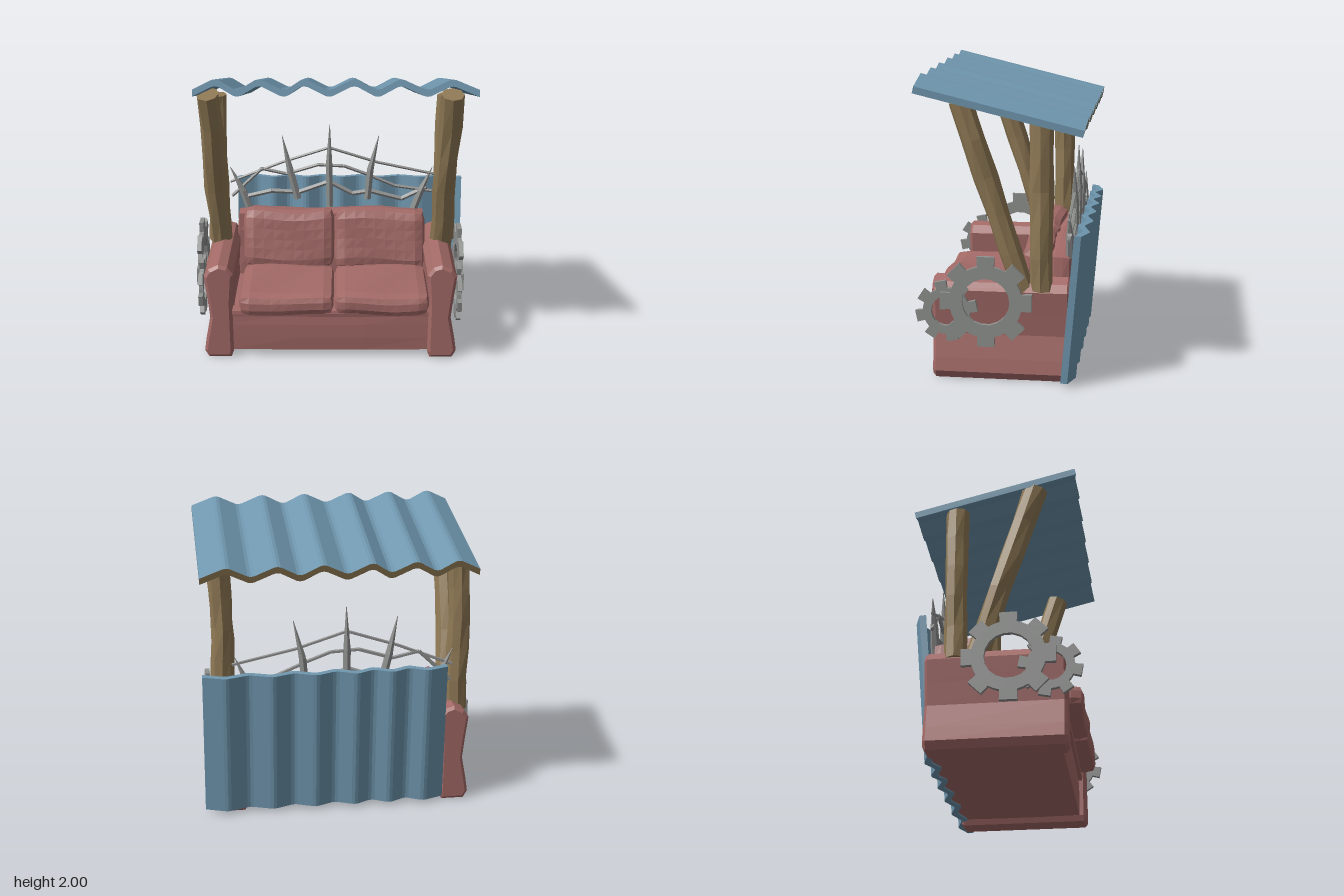
import * as THREE from 'three';

const mat = (name, color) => {
  const m = new THREE.MeshStandardMaterial({ color });
  m.name = name;
  return m;
};
const MID = -0.035; // the sofa sits slightly off the roof's centre line

export function createModel() {
  const model = new THREE.Group();
  model.name = 'shelteredSofa';
  const blue = mat('corrugated blue', 0x6f96ae);
  const red = mat('faded red fabric', 0xa36a67);
  const wood = mat('weathered wood', 0x8f7955);
  const metal = mat('grey metal', 0x8f918f);

  // Faceted mesh: every face gets its own normal
  const add = (name, geo, material, parent = model) => {
    const g = geo.index ? geo.toNonIndexed() : geo;
    g.computeVertexNormals();
    const mesh = new THREE.Mesh(g, material);
    mesh.name = name;
    parent.add(mesh);
    return mesh;
  };
  const warp = (geo, rule) => {
    const p = geo.attributes.position;
    const v = new THREE.Vector3();
    for (let i = 0; i < p.count; i++) {
      v.fromBufferAttribute(p, i);
      rule(v);
      p.setXYZ(i, v.x, v.y, v.z);
    }
    return geo;
  };

  // Corrugated sheet: zigzag profile extruded along its length
  const sheet = (name, knots, amp, thick, length, endMaterial) => {
    const line = [];
    knots.forEach((x, i) => {
      const h = i % 2 ? amp : 0;
      if (i === 0 || i === knots.length - 1) line.push([x, h]);
      else {
        const soft = h + (i % 2 ? -0.004 : 0.004);
        line.push([x - 0.022, soft], [x, h], [x + 0.022, soft]);
      }
    });
    const pts = [...line, ...line.map(([x, h]) => [x, h + thick]).reverse()];
    const geo = new THREE.ExtrudeGeometry(
      new THREE.Shape(pts.map(([x, y]) => new THREE.Vector2(x, y))),
      { depth: length, bevelEnabled: false });
    const caps = geo.groups[0].count;
    const total = geo.attributes.position.count;
    geo.clearGroups();
    geo.addGroup(0, caps / 2, 1);
    geo.addGroup(caps / 2, total - caps / 2, 0);
    return add(name, geo, [blue, endMaterial]);
  };
  const roof = sheet('roof',
    [-0.915, -0.77, -0.63, -0.49, -0.33, -0.2, -0.04, 0.12, 0.27, 0.42, 0.59, 0.75, 0.92],
    0.065, 0.045, 1.1, wood);
  roof.position.set(0, 1.63, -0.52);
  roof.rotation.x = -0.237;
  const backSheet = sheet('backPanel',
    [-0.72, -0.58, -0.46, -0.34, -0.22, -0.1, 0.035, 0.17, 0.315, 0.46, 0.615, 0.77, 0.92],
    0.045, 0.045, 0.98, blue);
  backSheet.position.set(0, 0.03, -0.39);
  backSheet.rotation.x = -(Math.PI / 2 + 0.082);

  // Tapered strut between two points, optionally gnarled
  const strut = (name, a, b, r0, r1, sides, material, gnarl = 0, rows = 1) => {
    const from = new THREE.Vector3(...a), to = new THREE.Vector3(...b);
    const dir = to.clone().sub(from);
    const geo = new THREE.CylinderGeometry(r1, r0, dir.length(), sides, rows);
    if (gnarl) {
      warp(geo, (v) => {
        const turn = Math.atan2(v.z, v.x);
        const k = 1 + gnarl * Math.sin(v.y * 9 + a[0] * 5) * Math.cos(2 * turn + v.y * 4);
        v.x = v.x * k + gnarl * 0.07 * Math.sin(v.y * 7 + a[2] * 9);
        v.z *= k;
      });
    }
    const mesh = add(name, geo, material);
    mesh.position.copy(from).add(to).multiplyScalar(0.5);
    mesh.quaternion.setFromUnitVectors(new THREE.Vector3(0, 1, 0), dir.normalize());
    return mesh;
  };

  // Soft box: rounded at the rim, then gently rumpled
  const softBox = (name, [w, h, d], [x, y, z], r, lumps, segs) => {
    const half = new THREE.Vector3(w / 2 - r, h / 2 - r, d / 2 - r);
    const low = half.clone().negate();
    const geo = warp(new THREE.BoxGeometry(w, h, d, ...segs), (v) => {
      const core = v.clone().clamp(low, half);
      v.sub(core).normalize().multiplyScalar(r).add(core);
      const { x: px, y: py, z: pz } = v;
      v.y += lumps * Math.sin(px * 9 + x * 7 + pz * 5);
      v.z += lumps * 0.7 * Math.sin(px * 11 + py * 13 + x * 4);
    });
    const mesh = add(name, geo, red);
    mesh.position.set(x, y, z);
    return mesh;
  };

  // Sofa frame
  softBox('sofaBase', [1.36, 0.3, 0.86], [MID, 0.18, -0.01], 0.025, 0, [3, 3, 3]);
  softBox('frontRail', [1.36, 0.05, 0.1], [MID, 0.32, 0.39], 0.012, 0, [3, 2, 2]);
  softBox('backrest', [1.36, 0.55, 0.17], [MID, 0.53, -0.345], 0.04, 0.006, [8, 4, 3]);

  // Cushions
  for (const s of [-1, 1]) {
    const x = MID + 0.025 + s * 0.325;
    softBox('seatCushion', [0.645, 0.15, 0.64], [x, 0.415, 0.22], 0.05, 0.008, [9, 3, 8]);
    const back = softBox('backCushion', [0.645, 0.43, 0.19], [x, 0.65, -0.17], 0.06, 0.012, [9, 6, 3]);
    back.rotation.x = -0.2;
  }

  const gear = (name, tip, root, hole, turn, parent) => {
    const pts = [];
    for (let i = 0; i < 8; i++) {
      for (const [r, t] of [[root, -0.23], [tip, -0.19], [tip, 0.19], [root, 0.23], [root, 0.39]]) {
        const a = (i * Math.PI) / 4 + turn + t;
        pts.push(new THREE.Vector2(r * Math.cos(a), r * Math.sin(a)));
      }
    }
    const shape = new THREE.Shape(pts);
    shape.holes.push(new THREE.Path().absarc(0, 0, hole, 0, Math.PI * 2, true));
    const geo = new THREE.ExtrudeGeometry(shape, { depth: 0.03, bevelEnabled: false, curveSegments: 9 });
    geo.translate(0, 0, -0.015);
    const mesh = add(name, geo, metal, parent);
    mesh.rotation.y = Math.PI / 2;
    return mesh;
  };

  for (const s of [-1, 1]) {
    // Waisted arm, extruded front to back with a small chamfer
    const profile = [[0.685, 0], [0.84, 0], [0.868, 0.05], [0.855, 0.14], [0.825, 0.3], [0.842, 0.45],
      [0.862, 0.6], [0.83, 0.65], [0.76, 0.685], [0.7, 0.665], [0.66, 0.61], [0.675, 0.4], [0.67, 0.04]];
    const arm = new THREE.ExtrudeGeometry(
      new THREE.Shape(profile.map(([u, y]) => new THREE.Vector2(MID + s * u, y))),
      { depth: 0.86, bevelSize: 0.02, bevelOffset: -0.02, bevelThickness: 0.02, bevelSegments: 1 });
    add('armrest', arm, red).position.z = -0.42;

    // Roof posts: one upright, one leaning forward
    const px = MID + s * 0.79;
    strut('rearPost', [px + s * 0.02, 0.61, -0.25], [px + s * 0.02, 1.69, -0.25], 0.075, 0.075, 8, wood, 0.1, 5);
    strut('frontPost', [px - s * 0.01, 0.6, -0.13], [px + s * 0.02, 1.83, 0.27], 0.075, 0.078, 8, wood, 0.1, 5);

    // Pair of overlapping gears on the arm's outer face
    const gears = new THREE.Group();
    gears.name = 'armGears';
    gears.position.set(MID + s * 0.895, s < 0 ? 0.04 : 0, 0);
    model.add(gears);
    gear('largeGear', 0.305, 0.238, 0.155, 0, gears).position.set(0, 0.54, 0.1);
    gear('smallGear', 0.205, 0.155, 0.1, 0.2, gears).position.set(-s * 0.022, 0.465, 0.36);
  }

  // Spiked fence behind the backrest
  const Z = -0.42;
  const spikes = [
    [[-0.63, 0.76], [-0.68, 0.92], [-0.77, 1.1]],
    [[-0.28, 0.86], [-0.335, 1.08], [-0.39, 1.34]],
    [[-0.045, 0.8], [-0.05, 1.12], [-0.045, 1.42]],
    [[0.23, 0.86], [0.25, 1.08], [0.31, 1.34]],
    [[0.57, 0.78], [0.62, 0.92], [0.7, 1.1]],
  ];
  for (const [base, bend, tip] of spikes) {
    strut('spikeBase', [...base, Z], [...bend, Z], 0.029, 0.027, 6, metal);
    strut('spikeTip', [...bend, Z], [...tip, Z], 0.027, 0.002, 6, metal);
  }
  const rails = [
    [0.011, [[-0.77, 0.99], [-0.39, 1.14], [-0.05, 1.25], [0.3, 1.14], [0.72, 1.05]]],
    [0.013, [[-0.76, 0.88], [-0.54, 1.09], [-0.36, 1.05], [-0.13, 1.12], [0.06, 1.11], [0.22, 1.05],
      [0.43, 0.96], [0.7, 0.92]]],
    [0.018, [[-0.68, 0.87], [-0.47, 0.92], [-0.27, 0.91], [-0.05, 0.99], [0.12, 0.9], [0.25, 0.92],
      [0.48, 0.86], [0.66, 0.95]]],
  ];
  for (const [r, pts] of rails) {
    for (let i = 1; i < pts.length; i++) {
      strut('fenceRail', [...pts[i - 1], Z], [...pts[i], Z], r, r, 5, metal);
    }
  }
  return model;
}
